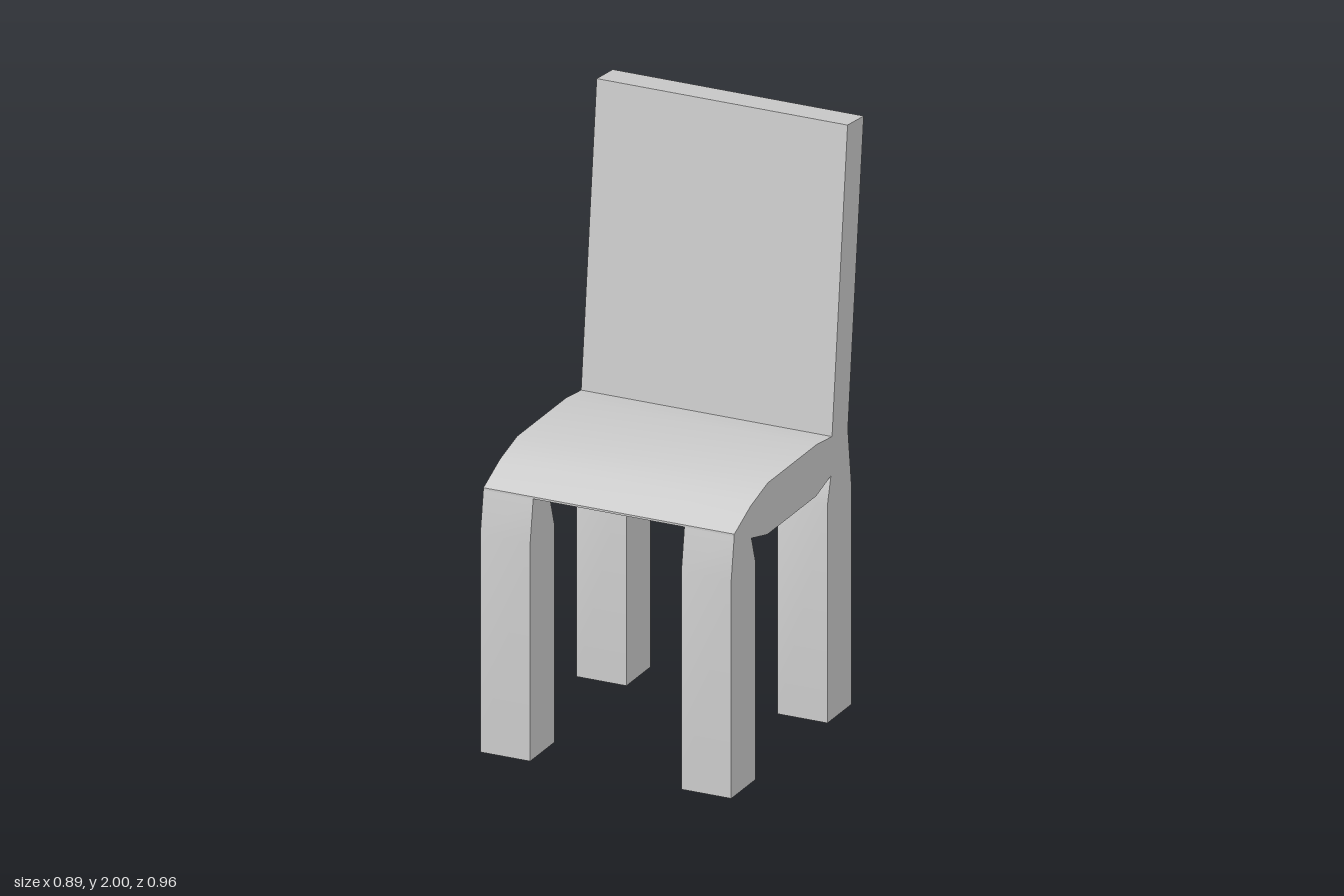
import * as THREE from 'three';
import { toCreasedNormals } from 'three/addons/utils/BufferGeometryUtils.js';

const material = new THREE.MeshStandardMaterial({ color: 0xcccccc });

// Side profile of [z, y] points, extruded across x from x0 to x1
function profilePart(name, points, x0, x1) {
  const shape = new THREE.Shape(points.map(([z, y]) => new THREE.Vector2(z, y)));
  const extruded = new THREE.ExtrudeGeometry(shape, { depth: x1 - x0, bevelEnabled: false });
  extruded.rotateY(-Math.PI / 2).translate(x1, 0, 0);
  const mesh = new THREE.Mesh(toCreasedNormals(extruded, 0.5), material);
  mesh.name = name;
  return mesh;
}

export function createModel() {
  const chair = new THREE.Group();
  chair.name = 'chair';
  const half = 0.443, legInner = 0.267;

  // Corners shared by neighbouring parts
  const frontLip = [0.46, 0.893], frontUnder = [0.335, 0.84];
  const rearUnder = [-0.242, 0.84], rearJoint = [-0.365, 0.955], seatBack = [-0.25, 0.972];

  // Curved seat slab
  chair.add(profilePart('seat', [
    frontLip, [0.46, 0.9], [0.45, 0.904], [0.34, 0.953], [0.215, 0.986], [-0.14, 0.986], seatBack,
    rearJoint, rearUnder, [-0.135, 0.81], [0.22, 0.81], frontUnder,
  ], -half, half));

  // Leaning backrest
  chair.add(profilePart('backrest', [seatBack, [-0.363, 2], [-0.48, 1.988], rearJoint], -half, half));

  // Square legs whose tops bend into the seat
  const legs = {
    frontLeg: [frontLip, [0.482, 0.75], [0.482, 0], [0.306, 0], [0.306, 0.75], frontUnder],
    rearLeg: [rearJoint, [-0.393, 0.74], [-0.393, 0], [-0.217, 0], [-0.217, 0.75], rearUnder],
  };
  for (const [name, points] of Object.entries(legs)) {
    chair.add(profilePart(name + 'Left', points, legInner, half));
    chair.add(profilePart(name + 'Right', points, -half, -legInner));
  }
  return chair;
}
